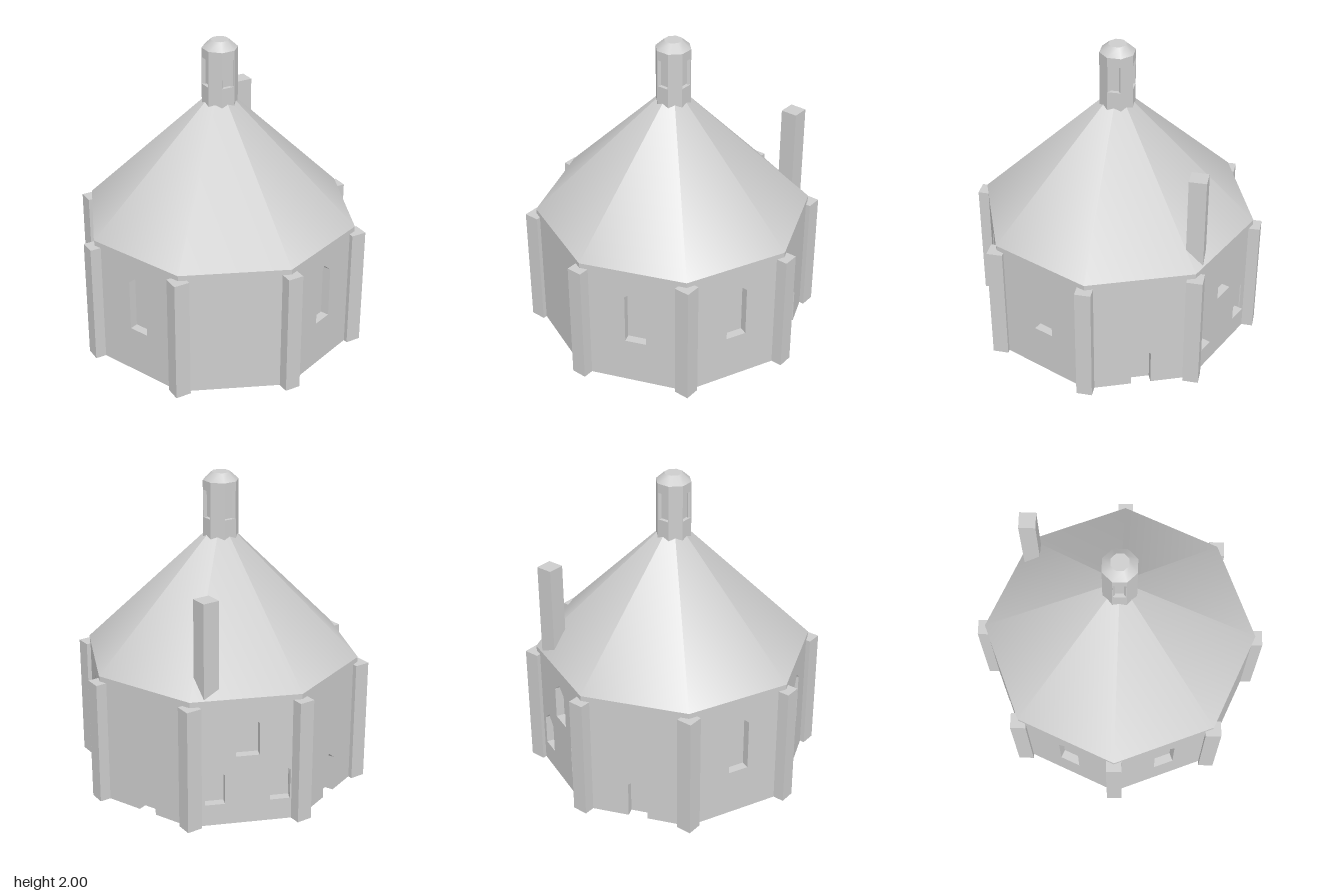
import * as THREE from 'three';
import { toCreasedNormals } from 'three/addons/utils/BufferGeometryUtils.js';

const RAD = Math.PI / 180;
const INSET = Math.cos(Math.PI / 8);   // apothem / radius of an octagon
const HALF = Math.sin(Math.PI / 8);    // half side / radius

const stone = new THREE.MeshStandardMaterial({ color: 0xcccccc });
stone.name = 'pale grey stone';

function add(group, name, geometry) {
  const mesh = new THREE.Mesh(geometry, stone);
  mesh.name = name;
  group.add(mesh);
  return mesh;
}

function box(group, name, size, y0, y1, x, z) {
  add(group, name, new THREE.BoxGeometry(size, y1 - y0, size)).position.set(x, (y0 + y1) / 2, z);
}

// Opening outline, from bottom left over the peak to bottom right
function outline({ x, w, y0, y1, peak }) {
  const pts = [[x - w / 2, y0], [x - w / 2, y1]];
  if (peak) pts.push([x, peak]);
  pts.push([x + w / 2, y1], [x + w / 2, y0]);
  return pts.map(p => new THREE.Vector2(...p));
}

// Octagonal drum: a solid core faced with eight panels, openings[i] cut into panel i
function drum(name, radius, y0, y1, start, depth, openings) {
  const group = new THREE.Group();
  group.name = name;
  const h = radius * HALF, r = radius - depth / INSET;
  const core = new THREE.CylinderGeometry(r, r, y1 - y0, 8, 1, false, start * RAD);
  core.translate(0, (y0 + y1) / 2, 0);
  add(group, name + 'Core', toCreasedNormals(core, 0.3));

  for (let i = 0; i < 8; i++) {
    const list = openings[i] || [];
    const contour = [new THREE.Vector2(-h, y0)];
    // doors notch the lower edge, windows are holes
    list.filter(o => o.y0 <= y0).forEach(o => contour.push(...outline(o)));
    contour.push(new THREE.Vector2(h, y0), new THREE.Vector2(h, y1), new THREE.Vector2(-h, y1));
    const shape = new THREE.Shape(contour);
    list.filter(o => o.y0 > y0).forEach(o => shape.holes.push(new THREE.Path(outline(o))));
    const panel = new THREE.ExtrudeGeometry(shape, { depth, bevelEnabled: false });
    panel.translate(0, 0, radius * INSET - depth);
    panel.rotateY((start + 22.5 + 45 * i) * RAD);
    add(group, name + 'Panel', panel);
  }
  return group;
}

export function createModel() {
  const model = new THREE.Group();
  model.name = 'octagonalHouse';
  const R = 0.89, TURN = -1, EAVES = 0.835;

  // Walls with pointed windows and doors
  const tall = [{ x: 0.012, w: 0.135, y0: 0.305, y1: 0.64, peak: 0.697 }];
  const door = [{ x: 0.012, w: 0.124, y0: 0, y1: 0.235, peak: 0.285 }];
  const low = x => ({ x, w: 0.125, y0: 0.14, y1: 0.335, peak: 0.39 });
  const triple = [{ x: 0.012, w: 0.145, y0: 0.455, y1: 0.665, peak: 0.722 }, low(-0.19), low(0.215)];
  model.add(drum('wall', R, 0, EAVES, TURN, 0.055,
    [tall, tall, door, triple, door, tall, tall, []]));

  // Square buttress on every corner
  for (let i = 0; i < 8; i++) {
    const a = (TURN + 45 * i) * RAD;
    box(model, 'buttress', 0.1, 0, 0.8, R * Math.sin(a), R * Math.cos(a));
  }

  // Eight-sided roof with soft ridges
  const roof = new THREE.ConeGeometry(R + 0.002, 0.873, 8, 1, false, TURN * RAD);
  roof.translate(0, EAVES + 0.873 / 2, 0);
  add(model, 'roof', roof);

  // Chimney
  box(model, 'chimney', 0.108, 0.84, 1.44, 0.505, -0.595);

  // Lantern with a recess on every second side
  const light = [{ x: 0, w: 0.078, y0: 1.715, y1: 1.89 }];
  model.add(drum('lantern', 0.113, 1.55, 1.95, -22.5, 0.025,
    [light, [], light, [], light, [], light, []]));
  const cap = new THREE.CylinderGeometry(0.058, 0.113, 0.05, 8, 1, false, -22.5 * RAD);
  cap.translate(0, 1.975, 0);
  add(model, 'lanternCap', cap);

  return model;
}
